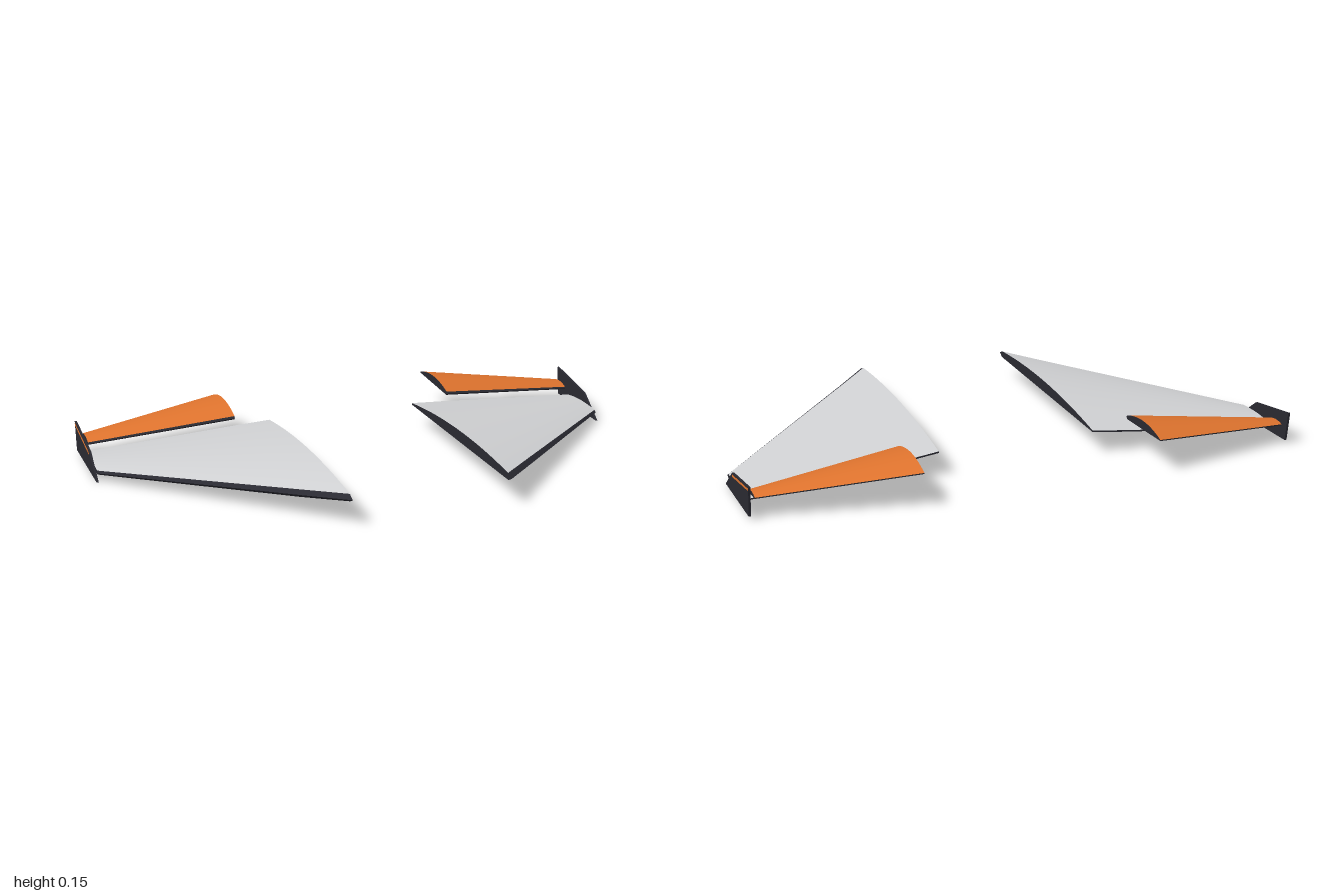
import * as THREE from 'three';

const STEPS = 14;

// Smooth or faceted surface from rows of points; flip reverses the facing for mirrored parts
function grid(name, rows, material, flip, smooth) {
  const cols = rows[0].length;
  const index = [];
  for (let i = 0; i < rows.length - 1; i++) {
    for (let j = 0; j < cols - 1; j++) {
      const a = i * cols + j, b = a + cols, c = b + 1, d = a + 1;
      if (flip) index.push(a, c, b, a, d, c);
      else index.push(a, b, c, a, c, d);
    }
  }
  let geo = new THREE.BufferGeometry().setFromPoints(rows.flat());
  geo.setIndex(index);
  if (!smooth) geo = geo.toNonIndexed();
  geo.computeVertexNormals();
  const mesh = new THREE.Mesh(geo, material);
  mesh.name = name;
  return mesh;
}

// Arched wing: painted upper skin, dark bevelled leading edge, underside and end caps.
// Each station gives [z, y] for nose, top, bottom and tail, plus the arch rise.
function wing(name, stations, side, skin, dark) {
  const group = new THREE.Group();
  group.name = name;
  const flip = side < 0;
  const sections = stations.map(({ x, nose, top, bottom, tail, rise, thick }) => {
    const at = ([z, y]) => new THREE.Vector3(side * x, y, z);
    const under = at([tail[0], tail[1] - thick]);
    const upper = [], lower = [];
    for (let k = 0; k <= STEPS; k++) {
      const t = k / STEPS;
      const p = at(top).lerp(at(tail), t);
      p.y += 4 * rise * t * (1 - t);
      upper.push(p);
      lower.push(at(bottom).lerp(under, t));
    }
    return {
      upper,
      shell: [at(tail), under, at(bottom), at(nose), at(top)],
      capTop: [at(nose), ...upper],
      capLow: [at(nose), ...lower],
    };
  });
  const root = sections[0], tip = sections[sections.length - 1];
  group.add(
    grid('upperSkin', sections.map((s) => s.upper), skin, flip, true),
    grid('underside', sections.map((s) => s.shell), dark, flip, false),
    grid('rootCap', [root.capLow, root.capTop], dark, flip, false),
    grid('tipCap', [tip.capTop, tip.capLow], dark, flip, false),
  );
  return group;
}

// Upright plate from a (z, y) outline, running from x0 to x1
function plate(name, outline, x0, x1, material) {
  const shape = new THREE.Shape(outline.map(([z, y]) => new THREE.Vector2(-z, y)));
  const geo = new THREE.ExtrudeGeometry(shape, { depth: x1 - x0, bevelEnabled: false });
  geo.rotateY(Math.PI / 2);
  const mesh = new THREE.Mesh(geo, material);
  mesh.position.x = x0;
  mesh.name = name;
  return mesh;
}

const MAIN = [
  { x: 0.29, nose: [0.59, 0.1], top: [0.56, 0.112], bottom: [0.565, 0.087], tail: [-0.335, 0.093], rise: 0.027, thick: 0.006 },
  { x: 0.42, nose: [0.453, 0.086], top: [0.426, 0.098], bottom: [0.43, 0.072], tail: [-0.348, 0.082], rise: 0.024, thick: 0.006 },
  { x: 0.992, nose: [-0.143, 0.033], top: [-0.155, 0.04], bottom: [-0.152, 0.026], tail: [-0.385, 0.035], rise: 0.008, thick: 0.005 },
];
const FLAP = [
  { x: 0.43, nose: [-0.316, 0.121], top: [-0.322, 0.128], bottom: [-0.325, 0.114], tail: [-0.595, 0.132], rise: 0.023, thick: 0.004 },
  { x: 0.975, nose: [-0.378, 0.065], top: [-0.383, 0.07], bottom: [-0.385, 0.06], tail: [-0.475, 0.076], rise: 0.008, thick: 0.004 },
];
const END_PLATE = [[-0.14, 0], [-0.475, 0.013], [-0.49, 0.122], [-0.25, 0.082]];
const STRIPE = [[-0.255, 0.069], [-0.485, 0.108], [-0.486, 0.116], [-0.255, 0.077]];

export function createModel() {
  const paint = (name, color) => {
    const m = new THREE.MeshStandardMaterial({ color });
    m.name = name;
    return m;
  };
  const grey = paint('lightGrey', 0xd2d3d5);
  const orange = paint('orange', 0xe0742e);
  const dark = paint('darkCarbon', 0x2a2a32);

  const model = new THREE.Group();
  model.name = 'frontWing';
  for (const side of [1, -1]) {
    const half = new THREE.Group();
    half.name = side > 0 ? 'leftHalf' : 'rightHalf';
    half.add(
      wing('mainPlane', MAIN, side, grey, dark),
      wing('flap', FLAP, side, orange, dark),
      plate('endPlate', END_PLATE, side > 0 ? 0.991 : -0.999, side > 0 ? 0.999 : -0.991, dark),
      plate('endPlateStripe', STRIPE, side > 0 ? 0.998 : -1, side > 0 ? 1 : -0.998, orange),
    );
    model.add(half);
  }
  return model;
}
